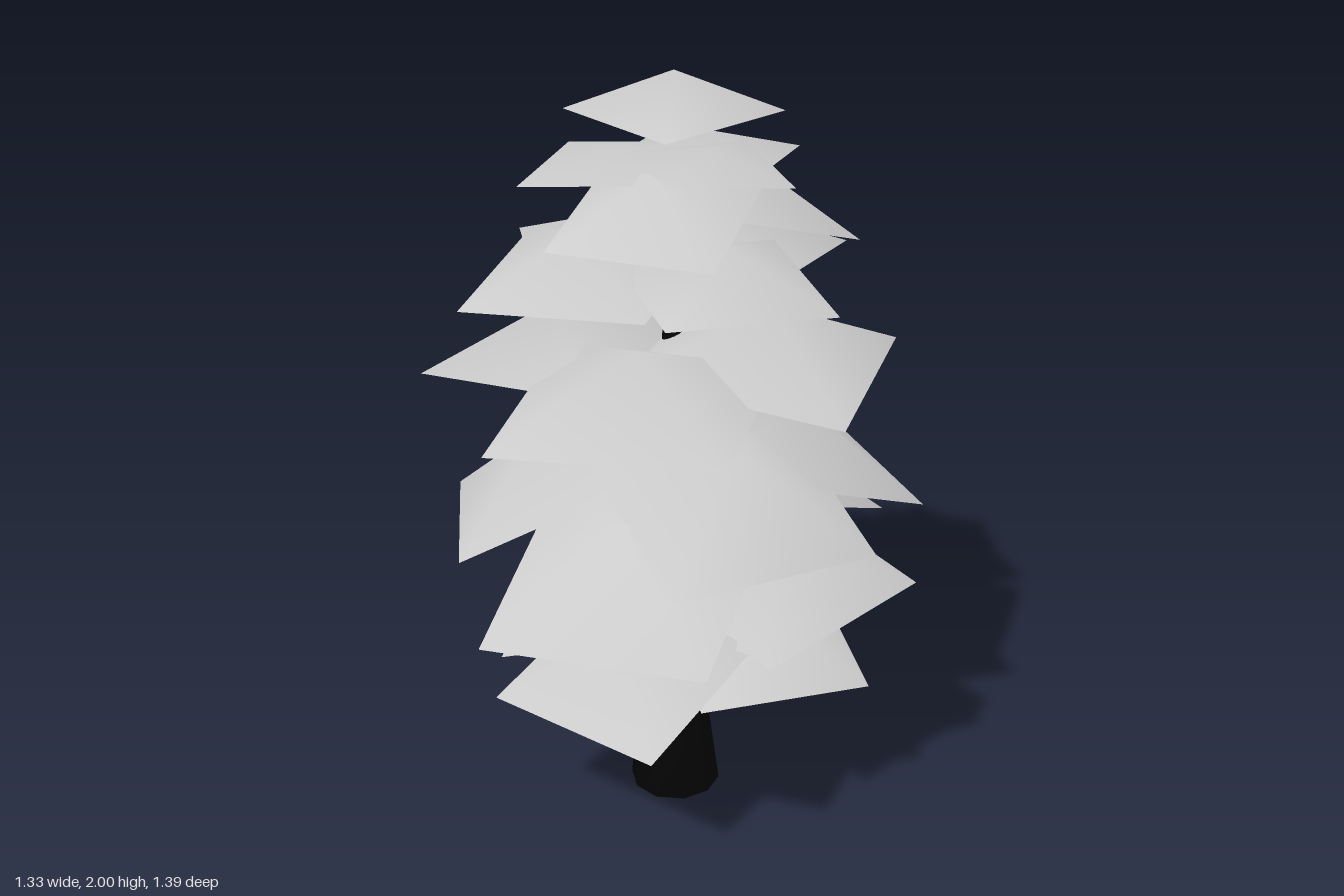
import * as THREE from 'three';

// Each leaf: outer corner a, outer corner b, height of the inner corners, height of the peak
const tiers = {
  lowestTier: [
    [[0.02, 0.425, 0.59], [-0.42, 0.435, 0.35], 0.54, 0.61],
    [[-0.46, 0.4, 0.1], [-0.38, 0.43, -0.36], 0.54, 0.61],
    [[0.08, 0.43, -0.51], [0.44, 0.435, -0.25], 0.58, 0.63],
    [[0.545, 0.435, 0.18], [0.12, 0.435, 0.36], 0.54, 0.62],
  ],
  lowerTier: [
    [[0.655, 0.695, 0.07], [0.3, 0.655, 0.48], 0.79, 0.87],
    [[0.165, 0.745, 0.695], [-0.41, 0.705, 0.55], 0.96, 1.0],
    [[0.22, 0.735, -0.63], [0.56, 0.77, -0.2], 0.92, 0.96],
    [[-0.245, 0.76, -0.585], [-0.58, 0.75, -0.1], 0.86, 0.93],
  ],
  lowerMiddleTier: [
    [[0.07, 0.905, 0.625], [0.545, 0.91, 0.33], 1.09, 1.15],
    [[0.66, 0.915, 0.05], [0.37, 0.95, -0.46], 1.09, 1.15],
    [[-0.62, 0.79, -0.185], [-0.49, 0.85, 0.385], 1.08, 1.07],
  ],
  upperMiddleTier: [
    [[-0.175, 1.08, -0.7], [0.375, 1.035, -0.54], 1.22, 1.3],
    [[0.57, 1.27, -0.215], [0.455, 1.24, 0.335], 1.3, 1.43],
    [[0.195, 1.24, 0.595], [-0.39, 1.205, 0.505], 1.27, 1.395],
    [[-0.665, 1.19, -0.01], [-0.385, 1.135, -0.495], 1.26, 1.375],
  ],
  upperTier: [
    [[-0.09, 1.43, -0.6], [0.425, 1.455, -0.445], 1.51, 1.59],
    [[-0.49, 1.475, 0.265], [-0.02, 1.5, 0.36], 1.54, 1.635],
    [[0.04, 1.52, 0.455], [0.43, 1.505, 0.27], 1.56, 1.64],
    [[-0.45, 1.5, -0.31], [-0.03, 1.52, -0.425], 1.54, 1.6],
    [[0.31, 1.56, -0.425], [0.465, 1.59, -0.05], 1.68, 1.715],
  ],
  highestTier: [
    [[-0.27, 1.64, 0.28], [0.14, 1.635, 0.375], 1.74, 1.8],
    [[-0.365, 1.745, 0.115], [-0.305, 1.75, -0.28], 1.78, 1.8],
    [[-0.09, 1.75, -0.405], [0.295, 1.745, -0.335], 1.78, 1.82],
    [[0.31, 1.77, 0.125], [0.02, 1.8, 0.265], 1.8, 1.84],
  ],
  crownTip: [[[0.27, 1.905, -0.07], [0.01, 1.89, 0.215], 1.9, 2]],
};

// Open four-sided canopy: a tilted square with a raised centre
function leafGeometry([a, b, innerY, peakY]) {
  const A = new THREE.Vector3(...a), B = new THREE.Vector3(...b);
  const middle = A.clone().add(B).multiplyScalar(0.5);
  // direction from the outer edge towards the trunk, shortened by the tilt
  const inward = new THREE.Vector3(A.z - B.z, 0, B.x - A.x);
  const flip = inward.dot(middle) > 0;
  if (flip) inward.negate();
  const rise = innerY - middle.y;
  const side = A.distanceTo(B);
  inward.setLength(Math.sqrt(side * side - rise * rise));
  const C = B.clone().add(inward).setY(innerY);
  const D = A.clone().add(inward).setY(innerY);
  // the peak stands square to the tilted base
  const slope = rise / inward.length();
  const centre = middle.clone().addScaledVector(inward, 0.5).setY(middle.y + rise / 2);
  const peak = centre.clone().addScaledVector(inward.normalize(), -(peakY - centre.y) * slope).setY(peakY);
  const geometry = new THREE.BufferGeometry().setFromPoints([peak, A, B, C, D]);
  const index = [];
  for (let i = 0; i < 4; i++) {
    const p = 1 + i, q = 1 + (i + 1) % 4;
    index.push(0, ...(flip ? [p, q] : [q, p]));
  }
  geometry.setIndex(index);
  geometry.computeVertexNormals();
  return geometry;
}

// Round limb swept through rings of [x, y, z, radius], closed at both ends
function limbGeometry(rings, sides) {
  const points = [], index = [];
  for (const [x, y, z, r] of rings) {
    for (let i = 0; i < sides; i++) {
      const t = (i / sides) * Math.PI * 2;
      points.push(new THREE.Vector3(x + r * Math.cos(t), y, z + r * Math.sin(t)));
    }
  }
  for (let k = 0; k < rings.length - 1; k++) {
    for (let i = 0; i < sides; i++) {
      const p = k * sides + i, q = k * sides + (i + 1) % sides;
      index.push(p, p + sides, q, q, p + sides, q + sides);
    }
  }
  const top = (rings.length - 1) * sides;
  for (let i = 1; i < sides - 1; i++) {
    index.push(0, i, i + 1, top, top + i + 1, top + i);
  }
  const geometry = new THREE.BufferGeometry().setFromPoints(points);
  geometry.setIndex(index);
  geometry.computeVertexNormals();
  return geometry;
}

export function createModel() {
  const foliage = new THREE.MeshStandardMaterial({ color: 0xcccccc, side: THREE.DoubleSide });
  foliage.name = 'foliageGrey';
  const bark = new THREE.MeshStandardMaterial({ color: 0x050505 });
  bark.name = 'barkBlack';

  const model = new THREE.Group();
  model.name = 'tree';
  const add = (parent, name, geometry, material) => {
    const mesh = new THREE.Mesh(geometry, material);
    mesh.name = name;
    parent.add(mesh);
  };

  // Tapering trunk, leaning slightly back
  add(model, 'trunk', limbGeometry([
    [0.013, 0, 0.022, 0.124], [0, 0.42, 0, 0.076], [-0.005, 0.62, -0.01, 0.06],
    [0, 0.9, -0.02, 0.05], [0, 1.2, -0.045, 0.034], [-0.008, 1.42, -0.055, 0.02],
    [-0.01, 1.55, -0.06, 0.012], [-0.01, 1.65, -0.06, 0.003],
  ], 10), bark);

  // Branches hidden among the leaves
  const branches = [
    [[0.02, 0.56, -0.02, 0.03], [0.05, 0.63, -0.13, 0.026], [0.08, 0.7, -0.21, 0.022], [0.09, 0.77, -0.26, 0.014]],
    [[0, 0.62, 0.03, 0.028], [-0.02, 0.7, 0.12, 0.025], [-0.04, 0.8, 0.22, 0.022], [-0.05, 0.93, 0.31, 0.012]],
    [[-0.02, 0.72, -0.02, 0.024], [-0.06, 0.88, -0.05, 0.02], [-0.1, 1.03, -0.08, 0.01]],
  ];
  branches.forEach((rings, i) => add(model, `branch${i + 1}`, limbGeometry(rings, 6), bark));

  // Foliage tiers
  for (const [name, leaves] of Object.entries(tiers)) {
    const tier = new THREE.Group();
    tier.name = name;
    leaves.forEach((leaf, i) => add(tier, `leaf${i + 1}`, leafGeometry(leaf), foliage));
    model.add(tier);
  }
  return model;
}
